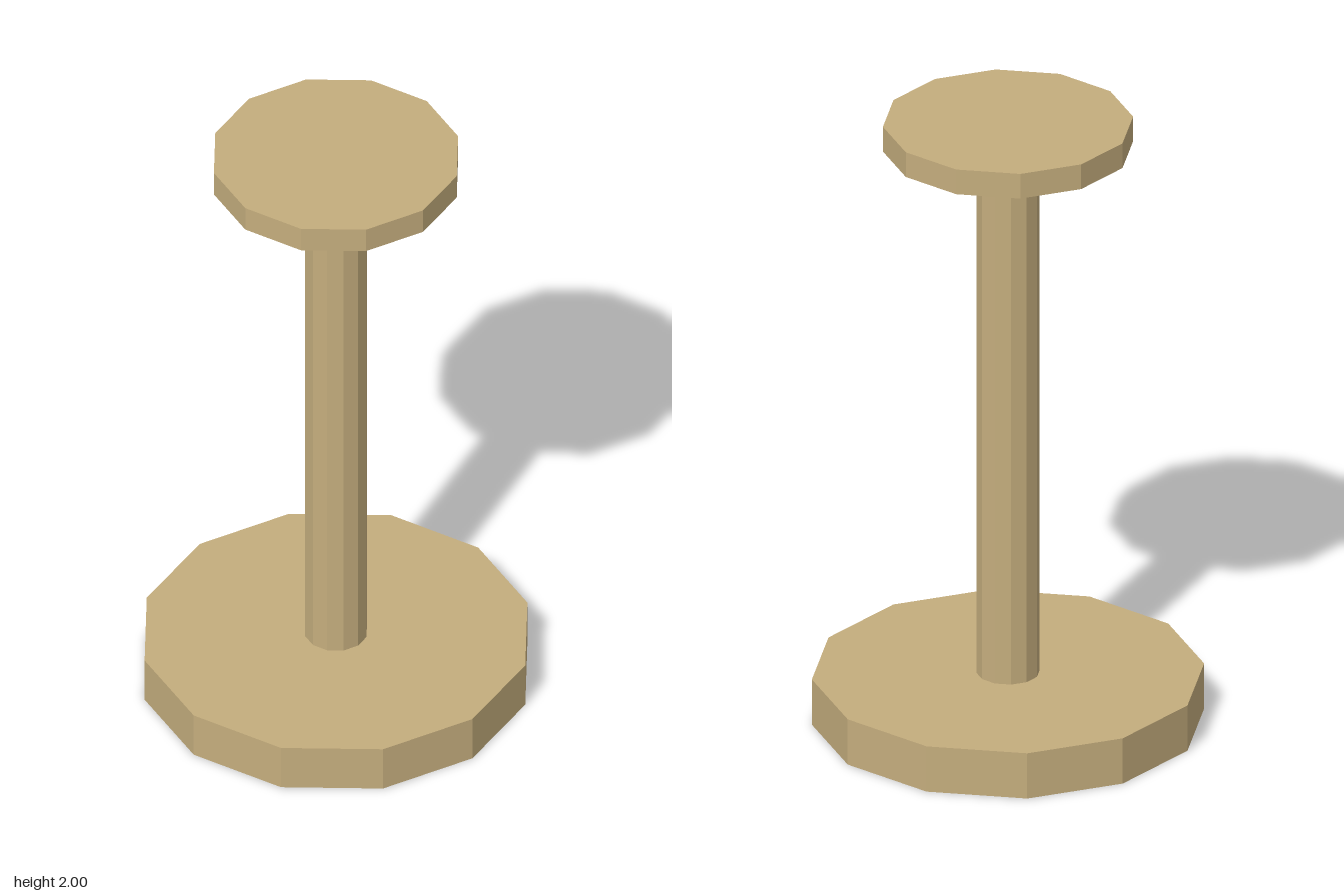
import * as THREE from 'three';

const SIDES = 12;

export function createModel() {
  const model = new THREE.Group();
  model.name = 'pedestalStand';
  const material = new THREE.MeshStandardMaterial({ color: 0xc4ad7d, flatShading: true });

  // Upright faceted disc or post between two heights
  function addDrum(name, radius, bottom, top) {
    const geometry = new THREE.CylinderGeometry(radius, radius, top - bottom, SIDES);
    const mesh = new THREE.Mesh(geometry, material);
    mesh.name = name;
    mesh.position.y = (bottom + top) / 2;
    model.add(mesh);
  }

  addDrum('base', 0.602, 0, 0.152);
  addDrum('post', 0.097, 0.152, 1.917);
  addDrum('topPlate', 0.384, 1.917, 2);

  return model;
}
